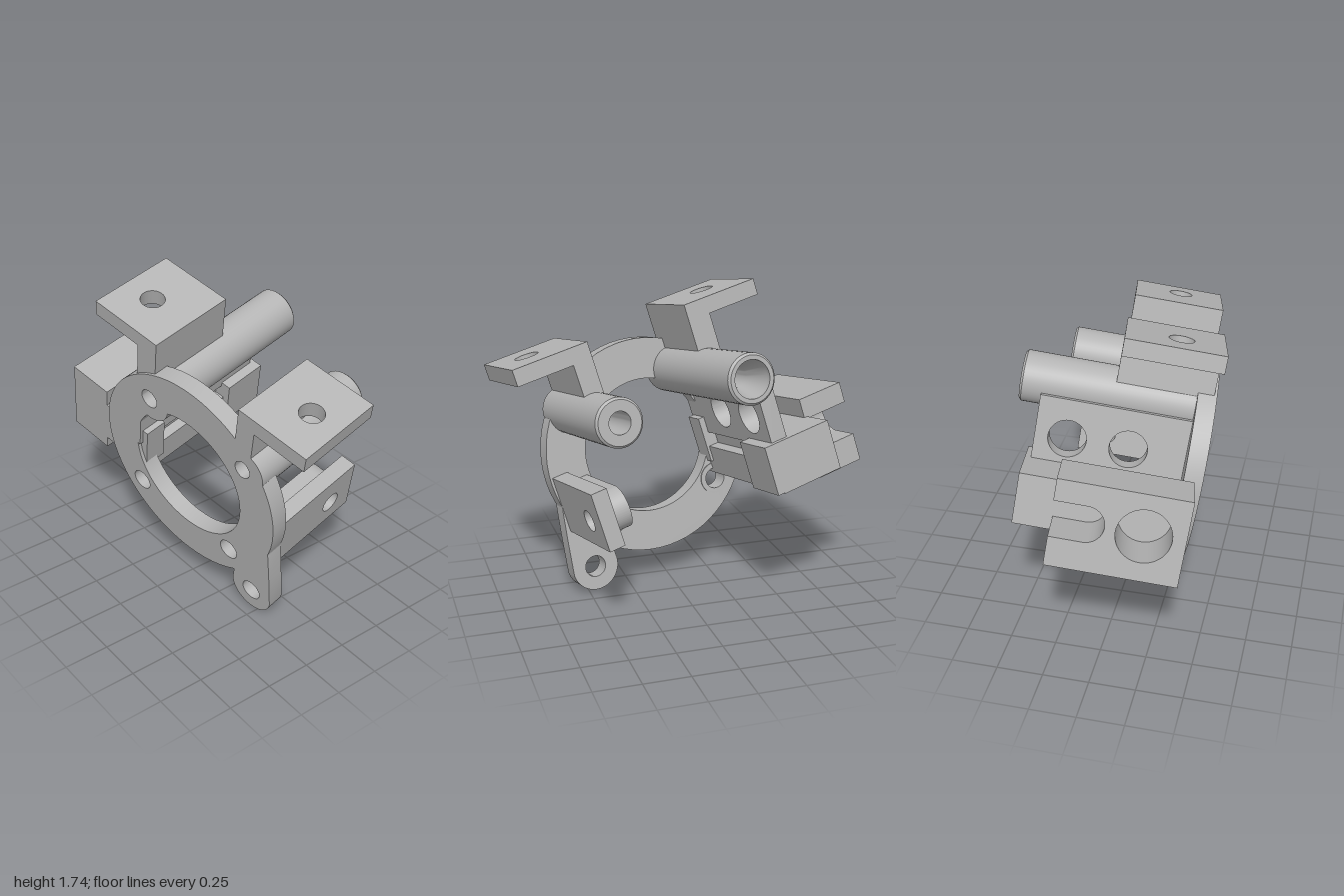
import * as THREE from 'three';
import { toCreasedNormals } from 'three/addons/utils/BufferGeometryUtils.js';

// Part frame: x runs along the ring axis (p), y is t, z is s.
export function createModel() {
  const metal = new THREE.MeshStandardMaterial({ color: 0xb4b4b4 });
  metal.name = 'castGrey';
  const part = new THREE.Group();
  part.name = 'housing';

  const add = (name, geo, p = 0, t = 0, s = 0) => {
    const m = new THREE.Mesh(toCreasedNormals(geo, 0.6), metal);
    m.name = name;
    m.position.set(p, t, s);
    part.add(m);
  };
  const circle = (x, y, r) => new THREE.Path().absarc(x, y, r, 0, Math.PI * 2, true);
  const rect = (x0, y0, x1, y1) => new THREE.Shape([[x0, y0], [x1, y0], [x1, y1], [x0, y1]].map(c => new THREE.Vector2(...c)));
  const extrude = (shape, depth, holes = []) => {
    shape.holes.push(...holes);
    return new THREE.ExtrudeGeometry(shape, { depth, bevelEnabled: false, curveSegments: 32 });
  };
  const box = (name, p0, p1, t0, t1, s0, s1) =>
    add(name, new THREE.BoxGeometry(p1 - p0, t1 - t0, s1 - s0), (p0 + p1) / 2, (t0 + t1) / 2, (s0 + s1) / 2);
  // plates whose thickness runs along the axis / along t
  const alongAxis = (shape, depth, holes) => extrude(shape, depth, holes).rotateY(Math.PI / 2);
  const alongT = (shape, depth, holes) => extrude(shape, depth, holes).rotateX(-Math.PI / 2);

  // Ring plate with four holes
  const ring = new THREE.Shape().absarc(0, 0, 0.61, 0, Math.PI * 2, false);
  add('ringPlate', alongAxis(ring, 0.1, [
    circle(0, 0, 0.381), circle(-0.355, 0.355, 0.055), circle(0.3, 0.352, 0.055),
    circle(-0.335, -0.345, 0.06), circle(0.335, -0.345, 0.06),
  ]), -0.05);
  for (const s of [-0.335, 0.335]) {
    const rim = new THREE.Shape().absarc(0, 0, 0.09, 0, Math.PI * 2, false);
    add('holeRim', alongAxis(rim, 0.006, [circle(0, 0, 0.06)]), 0.05, -0.345, s);
  }

  // Mounting ear below the ring, tapering into its rim
  const ear = new THREE.Shape();
  ear.moveTo(0.13, 0.34);
  ear.lineTo(-0.05, 0.46);
  ear.lineTo(-0.075, 0.38);
  ear.lineTo(-0.105, 0.2);
  ear.lineTo(-0.135, 0);
  ear.absarc(0, 0, 0.135, Math.PI, Math.PI * 2, false);
  add('mountingEar', alongAxis(ear, 0.1, [circle(0, 0, 0.06)]), -0.05, -0.534, 0.524);

  // Hollow posts
  const post = (name, r, mouth, straight, end, t, s) => {
    const L = end + 0.05;
    const pts = [[0.055, 0], [r, 0], [r, L - 0.012], [r - 0.012, L], [mouth, L], [mouth, L - straight], [0.055, L - 0.17], [0.055, 0]];
    add(name, new THREE.LatheGeometry(pts.map(c => new THREE.Vector2(...c)), 40).rotateZ(-Math.PI / 2), -0.05, t, s);
  };
  post('frontPost', 0.13, 0.06, 0.1, 0.747, 0.355, 0.368);
  post('rearPost', 0.135, 0.1, 0.03, 0.955, 0.352, -0.3);

  // Mirrored L brackets
  for (const [name, d, width, arm, p0, p1] of [['frontBracket', 1, 0.425, 0.11, -0.05, 0.45], ['rearBracket', -1, 0.44, 0.13, -0.035, 0.47]]) {
    const s0 = d > 0 ? 0.295 : -0.278, s1 = s0 + d * width;
    add(name + 'Plate', alongT(rect(p0, -Math.max(s0, s1), p1, -Math.min(s0, s1)), 0.09,
      [circle(0.19, -(s0 + d * 0.255), 0.065)]), 0, 0.655);
    const sa = s0 + d * arm;
    box(name + 'Arm', p0, p1, 0.42, 0.66, Math.min(s0, sa), Math.max(s0, sa));
  }

  // Side plate with a round-ended boss behind its hole
  add('sidePlate', extrude(rect(-0.05, -0.285, 0.63, 0.038), 0.09, [circle(0.46, -0.14, 0.06)]), 0, 0, 0.505);
  const boss = new THREE.Shape();
  boss.moveTo(-0.05, -0.25);
  boss.lineTo(0.46, -0.25);
  boss.absarc(0.46, -0.135, 0.115, -Math.PI / 2, Math.PI / 2, false);
  boss.lineTo(-0.05, -0.02);
  add('sideBoss', extrude(boss, 0.105, [circle(0.46, -0.14, 0.04)]), 0, 0, 0.4);

  // Web between the rear post and the rear block
  add('web', extrude(rect(-0.05, -0.06, 0.84, 0.31), 0.095, [circle(0.35, 0.1, 0.1), circle(0.67, 0.1, 0.1)]), 0, 0, -0.455);

  // Rear inner block: bored lower half, recessed upper half, walls at both ends
  add('innerBlockLower', alongT(rect(0, 0.34, 0.87, 0.7), 0.17, [circle(0.34, 0.565, 0.085), circle(0.68, 0.565, 0.085)]), 0, -0.31);
  box('innerBlockUpper', 0, 0.6, -0.14, -0.035, -0.7, -0.4);
  box('innerBlockEnd', 0.6, 0.87, -0.305, -0.035, -0.7, -0.3);
  box('innerBlockRoot', -0.03, 0.1, -0.23, 0.035, -0.45, -0.325);

  // Rear outer block with a large bore and an open slot
  const outer = new THREE.Shape();
  outer.moveTo(0, -0.39);
  outer.lineTo(0.67, -0.39);
  outer.lineTo(0.67, -0.235);
  outer.lineTo(0.5, -0.235);
  outer.absarc(0.5, -0.14, 0.095, -Math.PI / 2, Math.PI / 2, true);
  outer.lineTo(0.67, -0.045);
  outer.lineTo(0.67, 0.07);
  outer.lineTo(0, 0.07);
  add('outerBlock', extrude(outer, 0.27, [circle(0.21, -0.15, 0.14)]), 0, 0, -0.95);

  // Tilt into place
  part.rotation.x = 0.26;
  const tilt = new THREE.Group();
  tilt.name = 'tiltedHousing';
  tilt.add(part);
  tilt.quaternion.setFromUnitVectors(new THREE.Vector3(1, 0, 0), new THREE.Vector3(0.977, 0.16, -0.145).normalize());
  tilt.position.set(-0.31, 0.785, 0.11);
  const model = new THREE.Group();
  model.name = 'ringBracket';
  model.add(tilt);
  return model;
}
